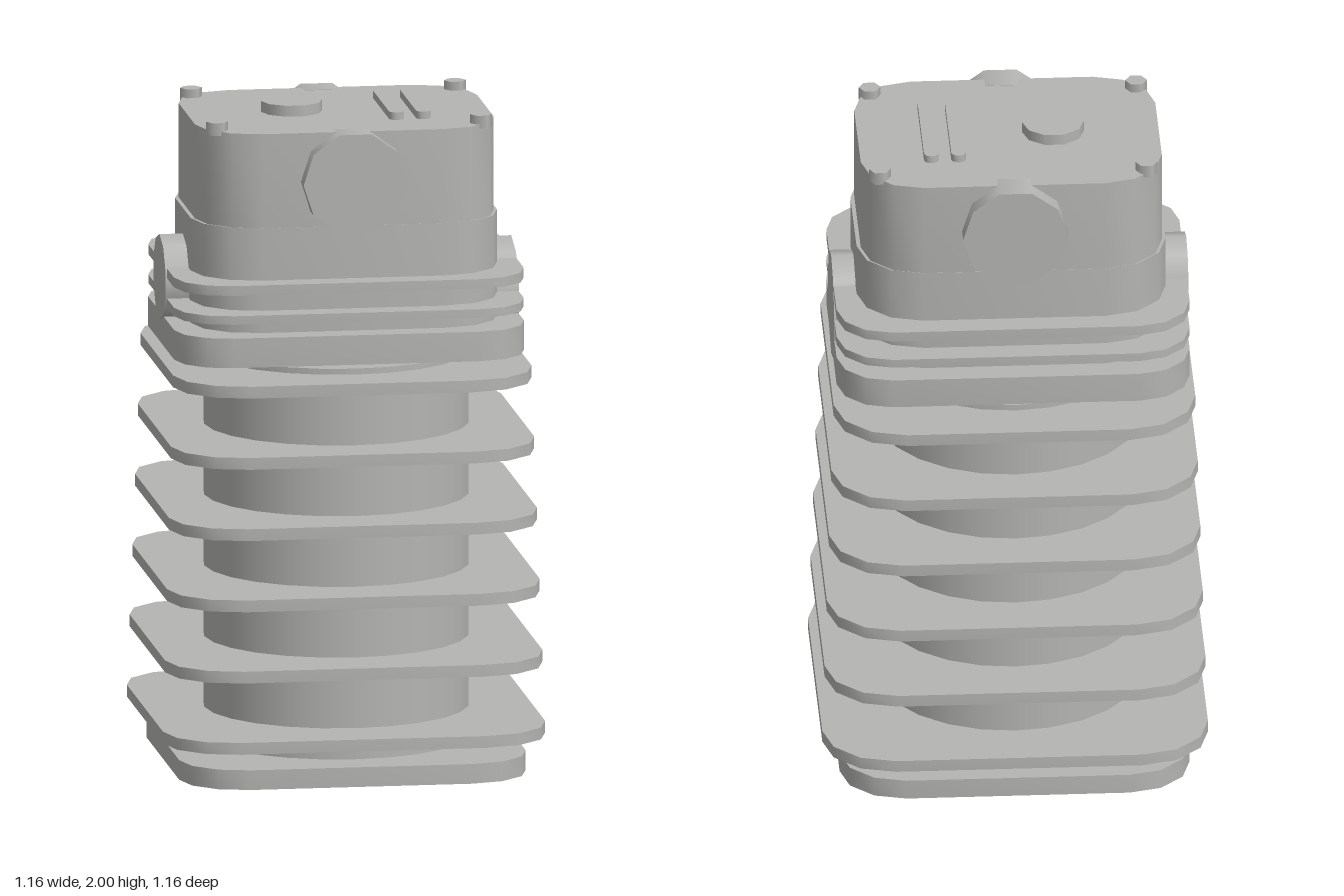
import * as THREE from 'three';
import { toCreasedNormals } from 'three/addons/utils/BufferGeometryUtils.js';

export function createModel() {
  const model = new THREE.Group();
  model.name = 'finnedCylinder';
  const metal = new THREE.MeshStandardMaterial({ color: 0xb4b4b2 });
  metal.name = 'castMetal';

  function add(name, geometry, x = 0, y = 0, z = 0) {
    const mesh = new THREE.Mesh(geometry, metal);
    mesh.name = name;
    mesh.position.set(x, y, z);
    model.add(mesh);
    return mesh;
  }

  // Flat slab with corners rounded in three steps; hx and hz are half sizes
  function slab(name, hx, hz, r, y0, y1, x = 0) {
    const points = [];
    [[1, 1], [-1, 1], [-1, -1], [1, -1]].forEach(([sx, sz], quarter) => {
      for (let i = 0; i <= 3; i++) {
        const a = (quarter + i / 3) * Math.PI / 2;
        points.push(new THREE.Vector2(
          sx * (hx - r) + r * Math.cos(a), sz * (hz - r) + r * Math.sin(a)));
      }
    });
    const geometry = new THREE.ExtrudeGeometry(new THREE.Shape(points),
      { depth: y1 - y0, bevelEnabled: false });
    geometry.rotateX(-Math.PI / 2);
    return add(name, toCreasedNormals(geometry, 0.7), x, y0, 0);
  }

  // Upright disc with a vertex on the x axis
  function disc(name, r, sides, x, y0, y1, z) {
    const geometry = new THREE.CylinderGeometry(r, r, y1 - y0, sides);
    geometry.rotateY(Math.PI / 2);
    return add(name, geometry, x, (y0 + y1) / 2, z);
  }

  // Base and barrel
  slab('base', 0.525, 0.525, 0.19, 0, 0.06);
  disc('barrel', 0.4, 24, 0, 0.05, 1.253, 0);

  // Barrel fins, shrinking slightly upwards
  for (let i = 0; i < 6; i++) {
    const h = 0.579 - i * 0.0072;
    const y = 0.119 + i * 0.216;
    slab('barrelFin', h, h, 0.21, y, y + 0.036);
  }

  // Head with its flange and fins
  slab('headFlange', 0.53, 0.425, 0.16, 1.27, 1.36);
  slab('headFin', 0.53, 0.422, 0.16, 1.402, 1.428);
  slab('headFin', 0.53, 0.422, 0.16, 1.49, 1.52);
  slab('headCore', 0.464, 0.349, 0.19, 1.28, 1.68);
  slab('headCover', 0.452, 0.348, 0.18, 1.68, 1.967);

  // Round covers on the front and back
  for (const s of [1, -1]) {
    const geometry = new THREE.CylinderGeometry(0.158, 0.158, 0.1, 10);
    geometry.rotateY(Math.PI / 2).rotateX(Math.PI / 2);
    add(s > 0 ? 'frontCover' : 'backCover', geometry, 0, 1.818, s * 0.356);
  }

  // Side ports
  for (const [name, r, x, y] of [['leftPort', 0.164, 0.46, 1.404], ['rightPort', 0.13, -0.464, 1.472]]) {
    const geometry = new THREE.CylinderGeometry(r, r, 0.142, 10);
    geometry.rotateY(Math.PI / 2).rotateZ(Math.PI / 2);
    add(name, geometry, x, y, 0);
  }

  // Top cap, ribs and bolts
  disc('topCap', 0.093, 10, -0.135, 1.95, 2, 0);
  for (const x of [0.158, 0.24]) slab('topRib', 0.022, 0.187, 0.021, 1.95, 1.99, x);
  for (const x of [-0.4, 0.4]) {
    for (const z of [-0.267, 0.267]) disc('bolt', 0.033, 6, x, 1.955, 1.994, z);
  }
  return model;
}
